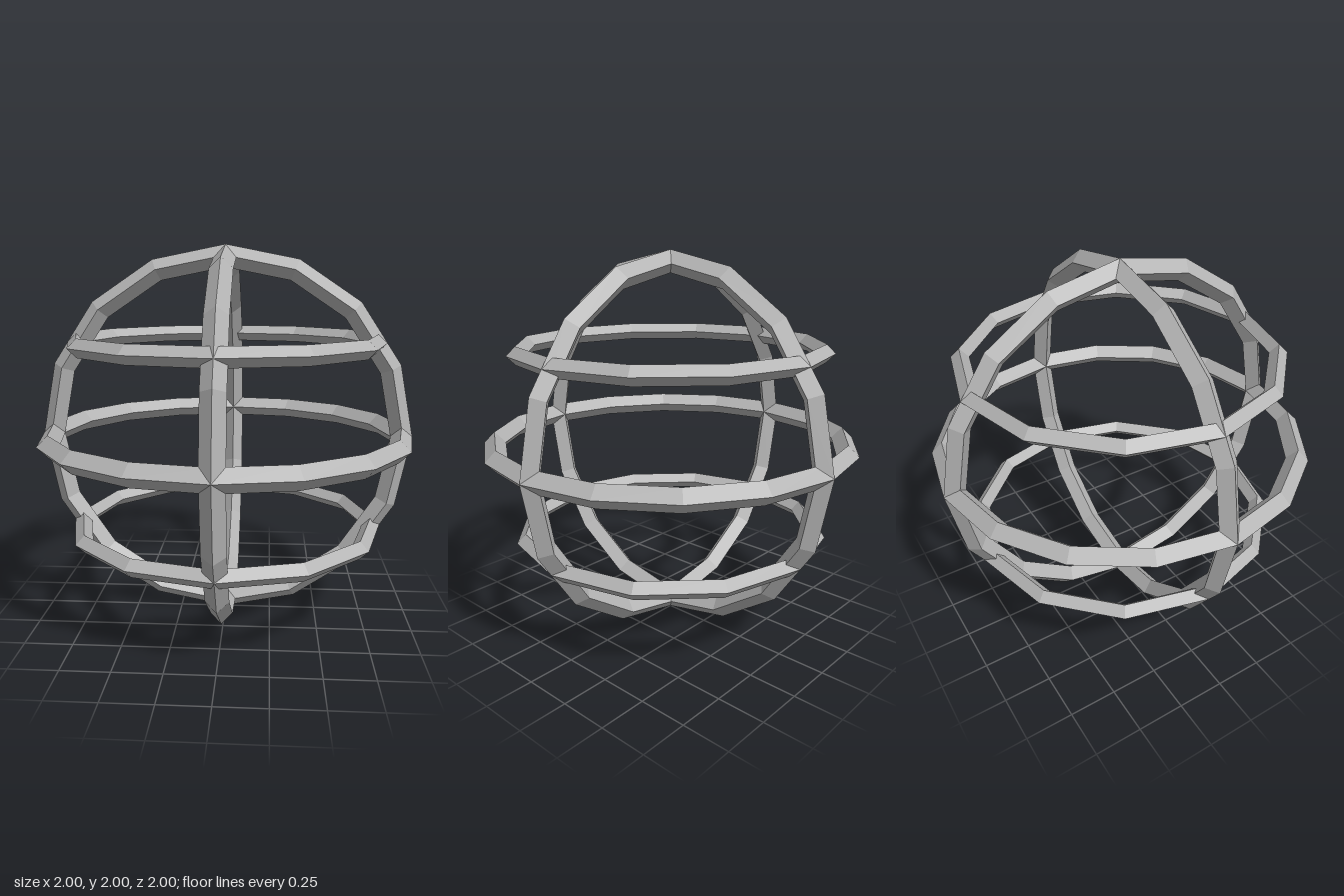
import * as THREE from 'three';

// Open globe cage: three great circles and two parallels, each with a diamond section
export function createModel() {
  const group = new THREE.Group();
  const grey = new THREE.MeshStandardMaterial({ color: 0xb4b4b4 });
  grey.flatShading = true;

  const addRing = (name, radius, tube, segments, y, rx, ry) => {
    const ring = new THREE.Mesh(new THREE.TorusGeometry(radius, tube, 4, segments), grey);
    ring.name = name;
    ring.position.y = y;
    ring.rotation.set(rx, ry, 0);
    group.add(ring);
  };

  const R = 0.942, T = 0.058, H = Math.PI / 2;

  // Great circles
  addRing('frontMeridian', R, T, 16, 1, 0, 0);
  addRing('sideMeridian', R, T, 16, 1, 0, H);
  addRing('equator', R, T, 16, 1, H, 0);

  // Smaller, thinner parallels above and below the equator
  for (const [name, side] of [['upperParallel', 1], ['lowerParallel', -1]]) {
    addRing(name, 0.801, 0.047, 12, 1 + side * 0.496, H, 0);
  }
  return group;
}
